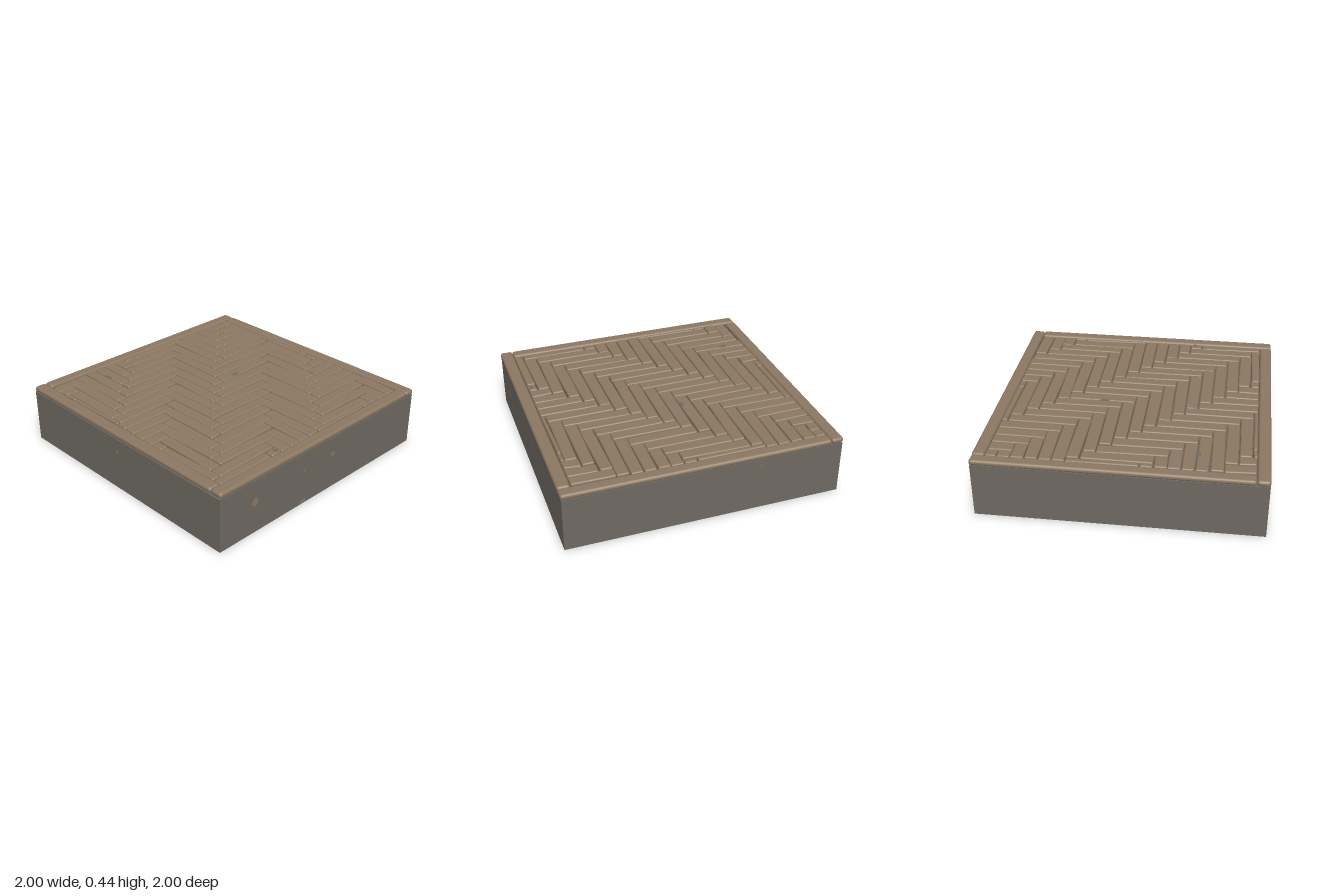
import * as THREE from 'three';
import { RoundedBoxGeometry } from 'three/addons/geometries/RoundedBoxGeometry.js';

export function createModel() {
  const model = new THREE.Group();
  model.name = 'parquetFloorBlock';

  const stone = new THREE.MeshStandardMaterial({ color: 0x6f6a62 });
  stone.name = 'grey stone';
  const wood = new THREE.MeshStandardMaterial({ color: 0x8b7862 });
  wood.name = 'weathered wood';

  // Small seeded generator for the uneven boards
  let seed = 11;
  const rand = (a, b) => {
    seed = (seed * 16807) % 2147483647;
    return a + (b - a) * (seed / 2147483647);
  };

  const add = (parent, name, geometry, material) => {
    const mesh = new THREE.Mesh(geometry, material);
    mesh.name = name;
    parent.add(mesh);
    return mesh;
  };

  // Stone base
  const H = 0.4, E = 0.993;
  add(model, 'stoneBase', new THREE.BoxGeometry(2 * E, H, 2 * E), stone).position.y = H / 2;

  // Rounded board over a rectangle in x and z, slightly tapered, skewed and tilted
  function board(parent, name, x0, x1, z0, z1, bottom, top, radius, rough) {
    const w = x1 - x0, d = z1 - z0, h = top - bottom;
    const r = Math.min(radius, w * 0.4, d * 0.4, h * 0.49);
    const g = new RoundedBoxGeometry(w, h, d, 3, r);
    const p = g.attributes.position;
    const alongX = w > d;
    const taper = rand(-rough, rough), skew = rand(-rough, rough);
    const tilt = rand(-rough, rough) * 0.5;
    for (let i = 0; i < p.count; i++) {
      const u = alongX ? p.getX(i) / w : p.getZ(i) / d;
      const v = alongX ? p.getZ(i) / d : p.getX(i) / w;
      const shift = 2 * u * (skew + taper * v);
      if (alongX) p.setZ(i, p.getZ(i) + shift);
      else p.setX(i, p.getX(i) + shift);
      p.setY(i, p.getY(i) + 2 * u * tilt);
    }
    add(parent, name, g, wood).position.set((x0 + x1) / 2, (bottom + top) / 2, (z0 + z1) / 2);
  }

  // Edge beams laid in a pinwheel
  const frame = new THREE.Group();
  frame.name = 'edgeFrame';
  model.add(frame);
  const lo = -0.912, hi = 0.905;
  board(frame, 'leftwardBeam', -0.999, lo, -0.997, hi - 0.002, 0.401, 0.442, 0.019, 0.001);
  board(frame, 'backBeam', lo + 0.002, 0.998, -0.999, lo, 0.401, 0.442, 0.019, 0.001);
  board(frame, 'rightwardBeam', hi + 0.002, 0.998, lo + 0.002, 0.992, 0.401, 0.444, 0.019, 0.001);
  board(frame, 'frontBeam', -0.997, hi, hi, 0.995, 0.401, 0.442, 0.019, 0.001);

  // Herringbone planks, clipped to the frame
  const planks = new THREE.Group();
  planks.name = 'herringbonePlanks';
  model.add(planks);
  const W = 0.0927, L = 0.498, gap = 0.0025;
  function plank(x, z, w, d) {
    const x0 = Math.max(x, lo) + gap, x1 = Math.min(x + w, hi) - gap;
    const z0 = Math.max(z, lo) + gap, z1 = Math.min(z + d, hi) - gap;
    if (x1 - x0 < 0.01 || z1 - z0 < 0.01) return;
    board(planks, 'plank', x0, x1, z0, z1, 0.38, 0.438 + rand(-0.003, 0.003), 0.012, 0.004);
  }
  for (let m = -4; m <= 4; m++) {
    for (let k = -40; k <= 40; k++) {
      const x = -0.367 + k * W - m * L;
      const z = -0.865 + k * W + m * L;
      plank(x, z, L, W);
      plank(x, z + W, W, L);
    }
  }

  // Flat uneven patch, drawn in the xy plane
  function patch(name, material, rx, ry) {
    const pts = [];
    for (let i = 0; i < 10; i++) {
      const a = (i / 10) * Math.PI * 2, s = rand(0.85, 1.1);
      pts.push(new THREE.Vector2(Math.cos(a) * rx * s, Math.sin(a) * ry * s));
    }
    return add(model, name, new THREE.ShapeGeometry(new THREE.Shape(pts)), material);
  }

  // Worn spots on the side walls: position along the wall, height, radii
  const F = E + 0.0015;
  patch('frontSpot', wood, 0.015, 0.018).position.set(-0.02, 0.3, F);
  for (const [z, y, rx, ry] of [[0.68, 0.24, 0.032, 0.035], [0.21, 0.27, 0.011, 0.012],
    [-0.09, 0.27, 0.022, 0.018], [0.21, 0.018, 0.035, 0.016]]) {
    const s = patch('sideSpot', wood, rx, ry);
    s.position.set(F, y, z);
    s.rotation.y = Math.PI / 2;
  }
  const back = patch('backSpot', wood, 0.009, 0.009);
  back.position.set(-0.39, 0.35, -F);
  back.rotation.y = Math.PI;

  // Grey stains on the planks
  for (const [x, z, rx, rz] of [[-0.1, -0.22, 0.016, 0.038], [-0.73, 0.51, 0.036, 0.018],
    [0.88, 0.375, 0.018, 0.018]]) {
    const s = patch('plankStain', stone, rx, rz);
    s.position.set(x, 0.4435, z);
    s.rotation.x = -Math.PI / 2;
  }
  return model;
}
